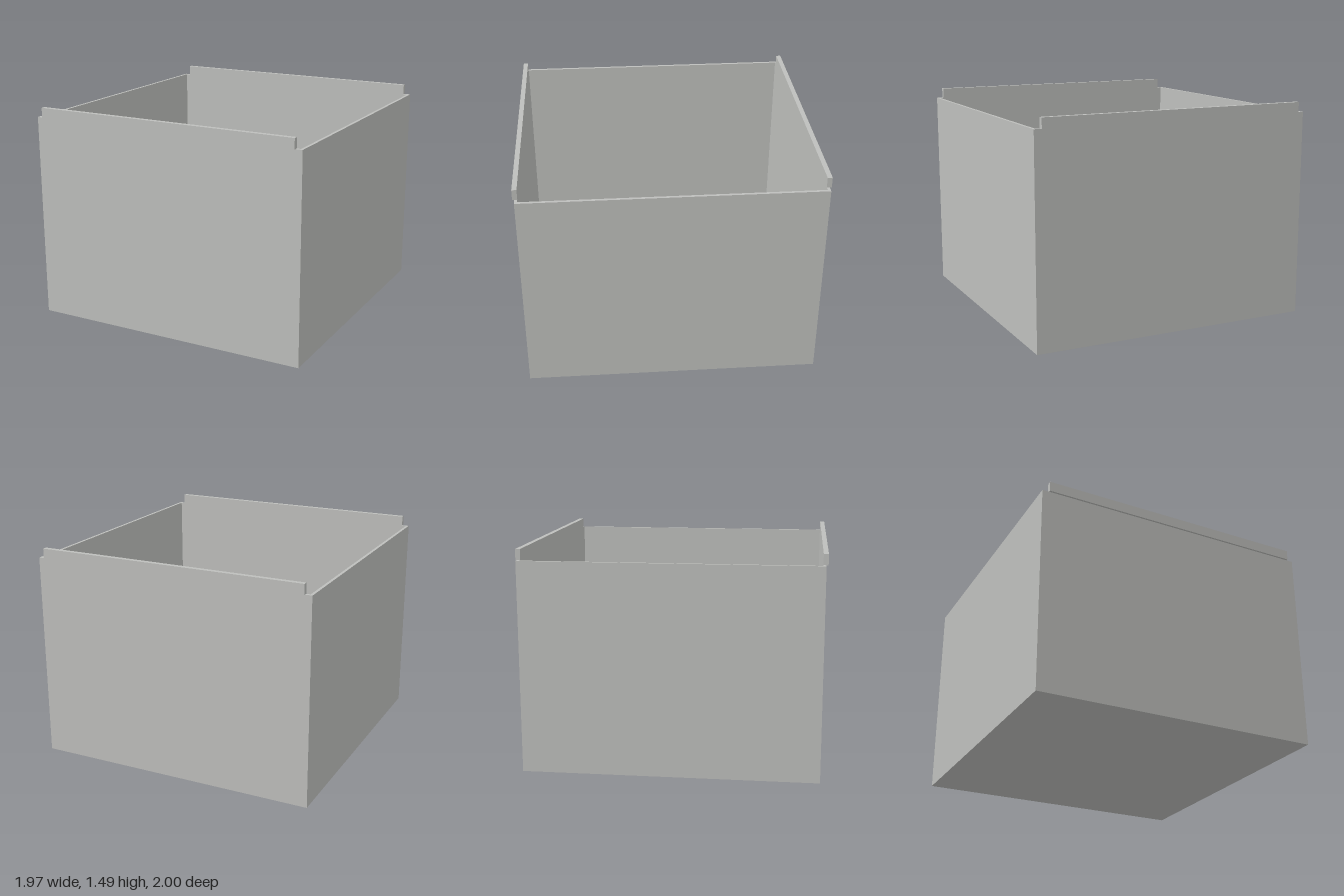
import * as THREE from 'three';
import { mergeGeometries } from 'three/addons/utils/BufferGeometryUtils.js';

export function createModel() {
  const model = new THREE.Group();
  model.name = 'openBox';
  const grey = new THREE.MeshStandardMaterial({ color: 0xbebfbc });
  grey.name = 'light grey';

  const outer = 0.987, inner = 0.968, rim = 1.42, floorTop = 0.02;

  function add(name, geometry, x = 0, y = 0, z = 0) {
    const mesh = new THREE.Mesh(geometry, grey);
    mesh.name = name;
    mesh.position.set(x, y, z);
    model.add(mesh);
  }

  // Hollow wall ring, extruded upwards
  const square = (Type, r) => new Type().moveTo(-r, -r).lineTo(r, -r).lineTo(r, r).lineTo(-r, r).closePath();
  const ring = square(THREE.Shape, outer);
  ring.holes.push(square(THREE.Path, inner));
  const walls = new THREE.ExtrudeGeometry(ring, { depth: rim, bevelEnabled: false });
  walls.rotateX(-Math.PI / 2);
  add('walls', walls);

  // Floor plate
  add('floor', new THREE.BoxGeometry(2 * inner, floorTop, 2 * inner), 0, floorTop / 2, 0);

  // Lips along the front and back rims, slightly overhanging outwards
  for (const side of [1, -1]) {
    const lip = new THREE.BoxGeometry(1.88, 0.07, 1 - inner);
    add(side > 0 ? 'frontLip' : 'backLip', lip, 0, rim + 0.035, side * (1 + inner) / 2);
  }

  // Fine grid of low round studs covering the floor
  const count = 64, pitch = 2 * inner / count, radius = pitch * 0.31, height = pitch * 0.22;
  const side = new THREE.CylinderGeometry(radius, radius, height, 8, 1, true);
  const cap = new THREE.CircleGeometry(radius, 8).rotateX(-Math.PI / 2).translate(0, height / 2, 0);
  const stud = mergeGeometries([side, cap]);
  const studs = [];
  for (let i = 0; i < count; i++) {
    for (let j = 0; j < count; j++) {
      studs.push(stud.clone().translate(
        -inner + (i + 0.5) * pitch, floorTop + height / 2, -inner + (j + 0.5) * pitch));
    }
  }
  add('floorStuds', mergeGeometries(studs));

  return model;
}
